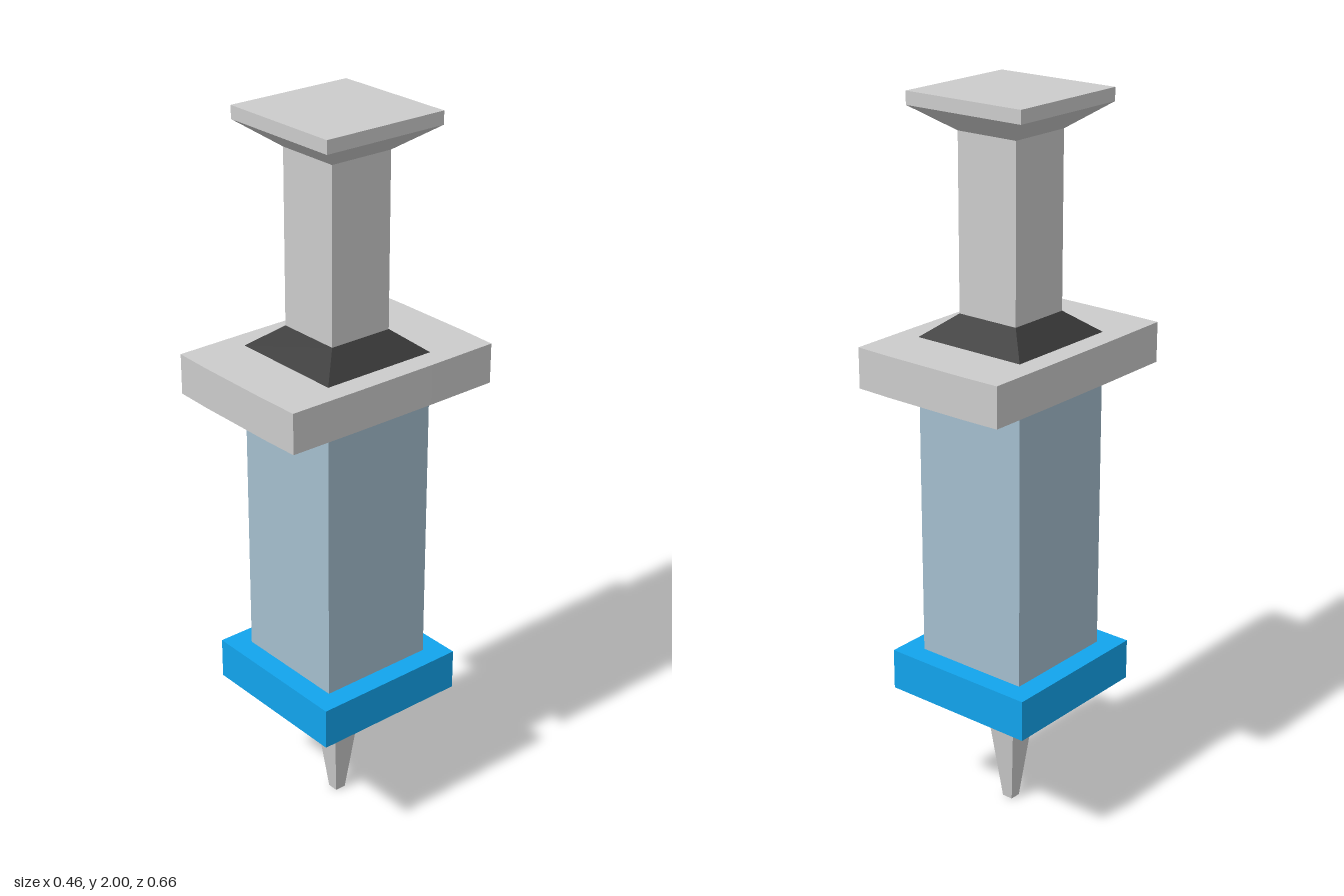
import * as THREE from 'three';

const material = (color) => new THREE.MeshStandardMaterial({ color, flatShading: true });

export function createModel() {
  const model = new THREE.Group();
  const grey = material(0xcccccc);
  const blue = material(0x12a4ed);
  const glass = material(0xa4bece);
  const rubber = material(0x383838);

  // Square block between two heights; half-widths may differ to make a taper
  function block(name, y0, y1, half0, half1, mat) {
    const geometry = new THREE.CylinderGeometry(half1 * Math.SQRT2, half0 * Math.SQRT2, y1 - y0, 4, 1);
    geometry.rotateY(Math.PI / 4);
    geometry.translate(0, (y0 + y1) / 2, 0);
    const mesh = new THREE.Mesh(geometry, mat);
    mesh.name = name;
    model.add(mesh);
  }

  // Needle, collar and barrel
  block('needle', 0, 0.36, 0.016, 0.056, grey);
  block('collar', 0.36, 0.475, 0.227, 0.227, blue);
  block('barrel', 0.475, 1.26, 0.168, 0.168, glass);

  // Finger flange, its sides bulging very slightly
  const quarter = [[0.23, 0.12], [0.228, 0.326], [0.12, 0.329]];
  const mirrored = [...quarter].reverse();
  const outline = [
    ...quarter,
    ...mirrored.map(([x, z]) => [-x, z]),
    ...quarter.map(([x, z]) => [-x, -z]),
    ...mirrored.map(([x, z]) => [x, -z]),
  ].map(([x, z]) => new THREE.Vector2(x, z));
  const flangeGeometry = new THREE.ExtrudeGeometry(new THREE.Shape(outline), { depth: 0.11, bevelEnabled: false });
  flangeGeometry.rotateX(-Math.PI / 2);
  flangeGeometry.translate(0, 1.26, 0);
  const flange = new THREE.Mesh(flangeGeometry, grey);
  flange.name = 'fingerFlange';
  model.add(flange);

  // Seal, plunger rod and thumb rest
  block('rubberSeal', 1.37, 1.43, 0.168, 0.093, rubber);
  block('plungerRod', 1.43, 1.9, 0.093, 0.093, grey);
  block('thumbRestFlare', 1.9, 1.965, 0.093, 0.182, grey);
  block('thumbRest', 1.965, 2, 0.182, 0.182, grey);

  return model;
}
